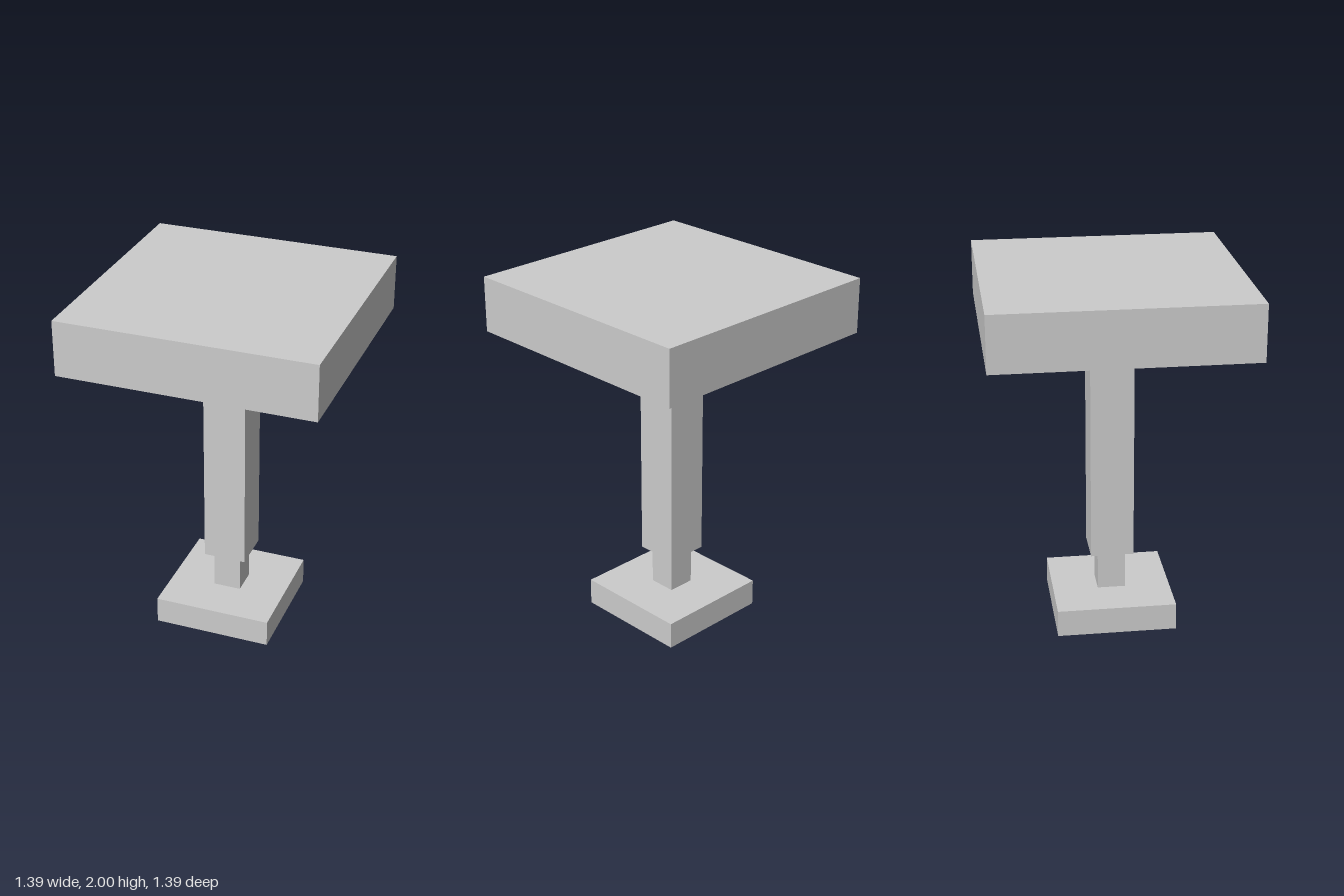
import * as THREE from 'three';

export function createModel() {
  const group = new THREE.Group();
  const material = new THREE.MeshStandardMaterial({ color: 0xcccccc, flatShading: true });

  // Square block of the given width, spanning bottom to top
  const addBlock = (name, width, bottom, top) => {
    const mesh = new THREE.Mesh(new THREE.BoxGeometry(width, top - bottom, width), material);
    mesh.name = name;
    mesh.position.y = (bottom + top) / 2;
    group.add(mesh);
  };

  addBlock('base', 0.663, 0, 0.153);
  addBlock('neck', 0.155, 0.153, 0.376);
  addBlock('column', 0.24, 0.376, 1.693);
  addBlock('topSlab', 1.395, 1.693, 2);

  return group;
}
